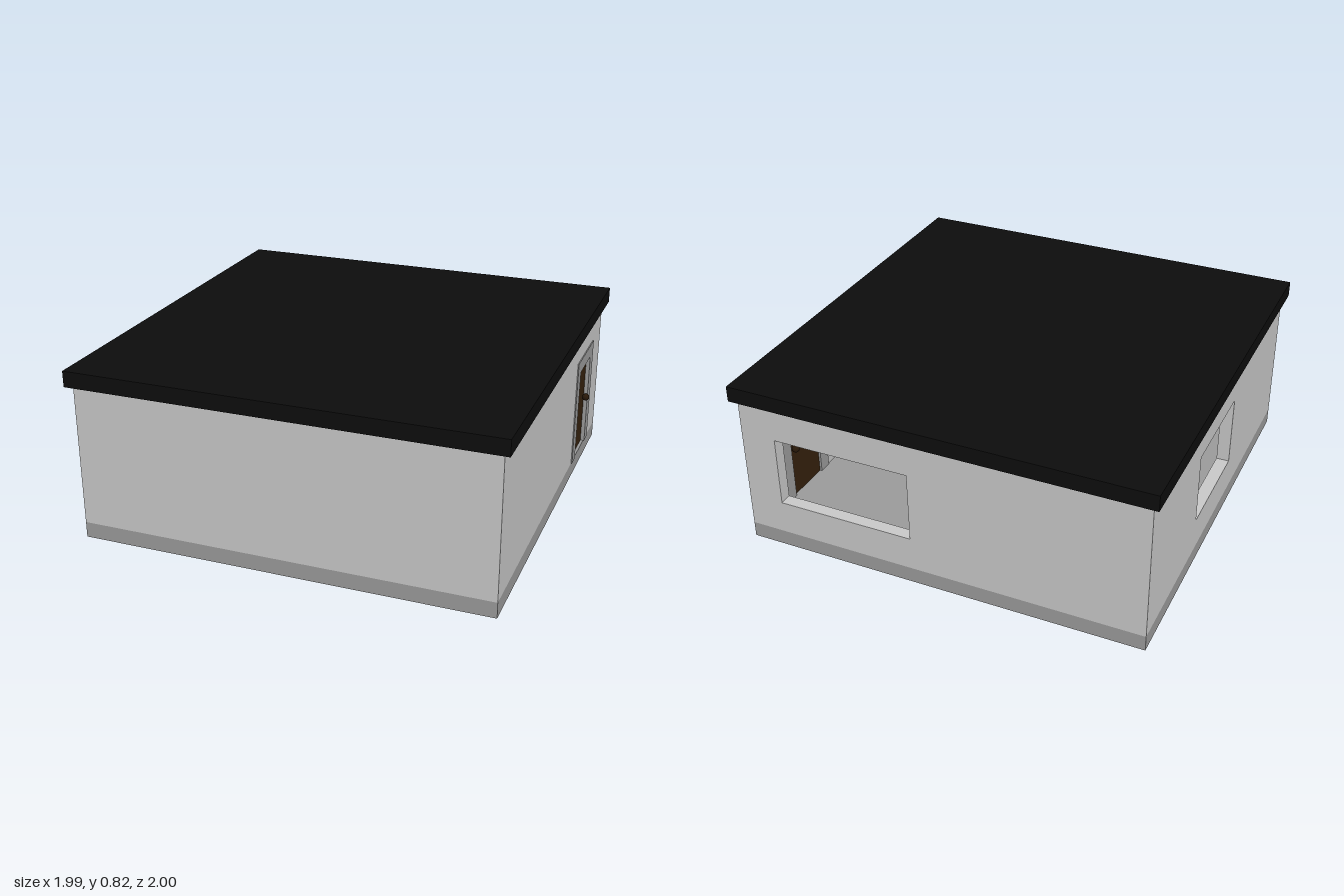
import * as THREE from 'three';

const W = 0.966, D = 0.972;          // half width and half depth of the walls
const BASE = 0.075, EAVE = 0.745, TOP = 0.82, THICK = 0.06;

function material(name, color) {
  const m = new THREE.MeshStandardMaterial({ color });
  m.name = name;
  return m;
}

// Closed outline, shared by wall faces and openings
function rectangle(u0, u1, y0, y1, Type = THREE.Shape) {
  const r = new Type();
  r.moveTo(u0, y0);
  r.lineTo(u1, y0);
  r.lineTo(u1, y1);
  r.lineTo(u0, y1);
  r.closePath();
  return r;
}

const extrude = (shape, depth) => new THREE.ExtrudeGeometry(shape, { depth, bevelEnabled: false });

export function createModel() {
  const group = new THREE.Group();
  group.name = 'house';
  const wallGrey = material('wall grey', 0xcacaca);
  const trimGrey = material('trim grey', 0x9c9c9c);
  const roofBlack = material('roof black', 0x0d0d0d);
  const doorBrown = material('door brown', 0x35210d);
  const knobBrown = material('knob dark brown', 0x281809);

  function add(name, geometry, mat, x = 0, y = 0, z = 0) {
    const mesh = new THREE.Mesh(geometry, mat);
    mesh.name = name;
    mesh.position.set(x, y, z);
    group.add(mesh);
    return mesh;
  }

  // Wall panel with an optional rectangular opening [u0, u1, y0, y1]
  function panel(half, opening) {
    const shape = rectangle(-half, half, BASE, EAVE);
    if (opening) shape.holes.push(rectangle(...opening, THREE.Path));
    return extrude(shape, THICK);
  }

  // Floor slab and flat roof
  add('base', new THREE.BoxGeometry(2 * W, BASE, 2 * D), trimGrey, 0, BASE / 2, 0);
  add('roof', new THREE.BoxGeometry(1.99, TOP - EAVE, 2), roofBlack, 0, (TOP + EAVE) / 2, 0);

  // Front and back walls, the back one with a wide window
  add('frontWall', panel(W), wallGrey, 0, 0, D - THICK);
  add('backWall', panel(W, [0.135, 0.795, 0.237, 0.575]), wallGrey, 0, 0, -D);

  // Side walls: turned so that the panel's u axis runs along -z
  const inner = D - THICK;
  add('windowSideWall', panel(inner, [-0.18, 0.332, 0.237, 0.575]).rotateY(Math.PI / 2), wallGrey, -W);
  const doorWall = new THREE.Shape();
  [[-inner, BASE], [0.42, BASE], [0.42, 0.605], [0.78, 0.605], [0.78, BASE],
    [inner, BASE], [inner, EAVE], [-inner, EAVE]]
    .forEach(([u, y], i) => (i ? doorWall.lineTo(u, y) : doorWall.moveTo(u, y)));
  add('doorSideWall', extrude(doorWall, THICK).rotateY(Math.PI / 2), wallGrey, W - THICK);

  // Door frame, slightly proud of the wall on both faces
  const frame = new THREE.Shape();
  [[0.42, BASE], [0.485, BASE], [0.485, 0.54], [0.712, 0.54], [0.712, BASE],
    [0.78, BASE], [0.78, 0.605], [0.42, 0.605]]
    .forEach(([u, y], i) => (i ? frame.lineTo(u, y) : frame.moveTo(u, y)));
  add('doorFrame', extrude(frame, 0.07).rotateY(Math.PI / 2), trimGrey, 0.901);

  // Recessed door with a knob on each face
  add('door', new THREE.BoxGeometry(0.04, 0.54 - BASE, 0.227), doorBrown, 0.932, (0.54 + BASE) / 2, -0.5985);
  for (const side of [-1, 1]) {
    const x = 0.932 + side * 0.03;
    add('doorKnob', new THREE.SphereGeometry(0.018, 16, 12), knobBrown, x + side * 0.006, 0.33, -0.685);
    add('knobStem', new THREE.CylinderGeometry(0.008, 0.008, 0.02, 12).rotateZ(Math.PI / 2), knobBrown, x, 0.33, -0.685);
  }
  return group;
}
